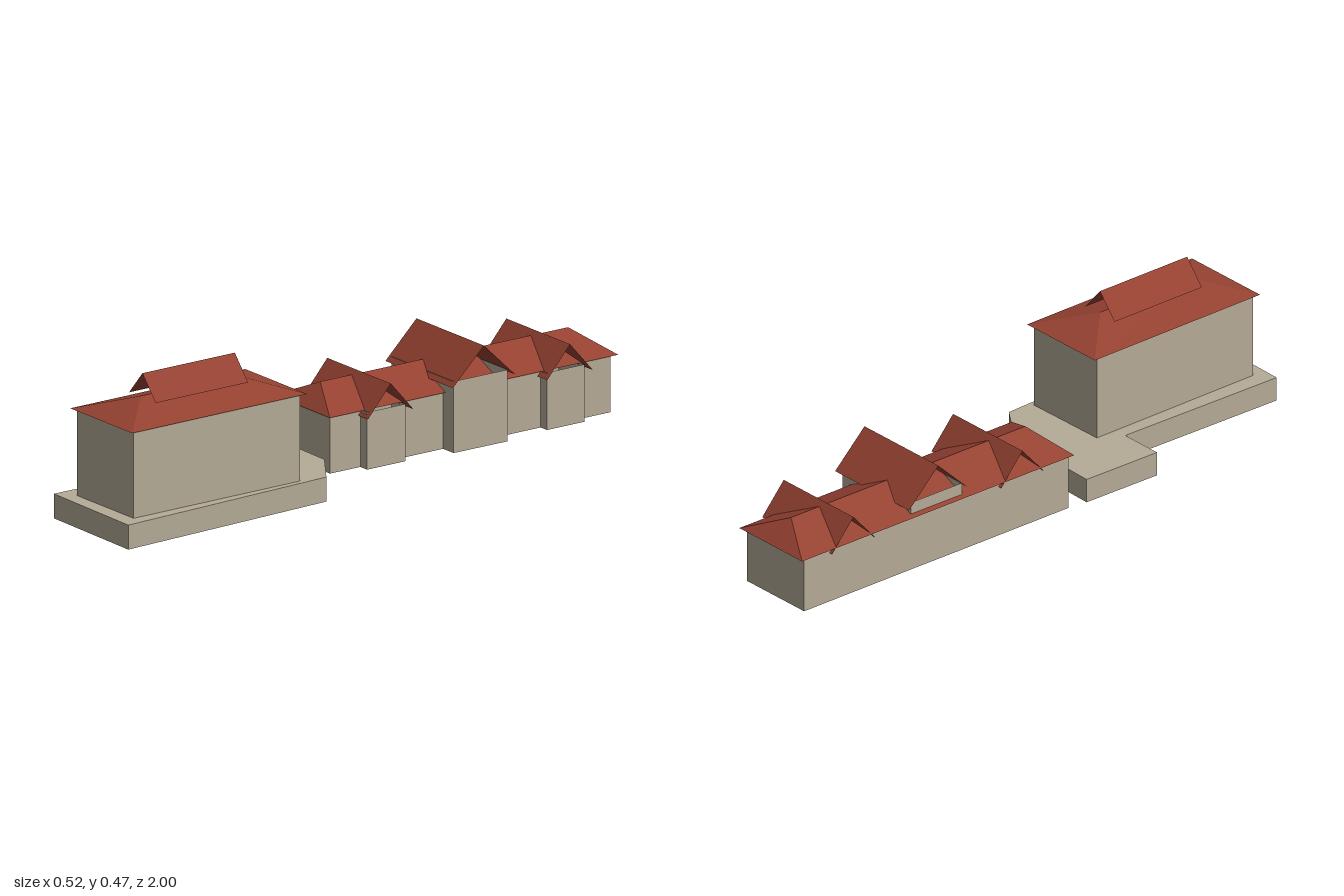
import * as THREE from 'three';

export function createModel() {
  const model = new THREE.Group();
  const wallMat = new THREE.MeshStandardMaterial({ color: 0xb5ab97, side: THREE.DoubleSide });
  wallMat.name = 'stone wall';
  const roofMat = new THREE.MeshStandardMaterial({ color: 0x964232, side: THREE.DoubleSide });
  roofMat.name = 'red roof';

  function add(name, geometry, material) {
    const mesh = new THREE.Mesh(geometry, material);
    mesh.name = name;
    model.add(mesh);
  }

  // Flat-shaded surface from polygons, each a fan of corner points
  function surface(polygons) {
    const pos = [];
    for (const p of polygons) {
      for (let i = 1; i < p.length - 1; i++) pos.push(...p[0], ...p[i], ...p[i + 1]);
    }
    const g = new THREE.BufferGeometry();
    g.setAttribute('position', new THREE.Float32BufferAttribute(pos, 3));
    g.computeVertexNormals();
    return g;
  }

  // Upright walls around an [x, z] outline, open above and below
  function walls(outline, y0, y1) {
    return surface(outline.map(([x, z], i) => {
      const [u, w] = outline[(i + 1) % outline.length];
      return [[x, y0, z], [u, y0, w], [u, y1, w], [x, y1, z]];
    }));
  }

  // Hipped roof: eaves corners frontLeft, backLeft, backRight, frontRight and two ridge ends
  function hipRoof(eaves, yEaves, yRidge, front, back) {
    const [a, b, c, d] = eaves.map(([x, z]) => [x, yEaves, z]);
    const f = [front[0], yRidge, front[1]];
    const r = [back[0], yRidge, back[1]];
    return surface([[a, b, r, f], [b, c, r], [c, d, f, r], [d, a, f]]);
  }

  // Two open slopes with the ridge along x
  function crossGable(x0, x1, z, half, yEaves, yRidge) {
    return surface([1, -1].map((s) => {
      const quad = [[x0, yEaves, z + s * half], [x1, yEaves, z + s * half], [x1, yRidge, z], [x0, yRidge, z]];
      return s > 0 ? quad : quad.reverse();
    }));
  }

  // Terrace: hollow underneath, with a flat top
  const terrace = [[0.262, 0.998], [0.23, 0.235], [0.085, 0.135], [-0.255, 0.125],
    [-0.259, 0.4], [-0.113, 0.4], [-0.123, 0.99]];
  add('terraceWalls', walls(terrace, 0, 0.077), wallMat);
  const top = new THREE.ShapeGeometry(new THREE.Shape(terrace.map(([x, z]) => new THREE.Vector2(x, -z))));
  top.rotateX(-Math.PI / 2).translate(0, 0.077, 0);
  add('terraceTop', top, wallMat);

  // Main house on the terrace
  add('houseWalls', walls([[0.217, 0.945], [0.215, 0.322], [-0.07, 0.325], [-0.066, 0.945]], 0.077, 0.352), wallMat);
  add('houseRoof', hipRoof([[0.23, 0.96], [0.227, 0.305], [-0.083, 0.305], [-0.081, 0.96]],
    0.35, 0.4, [0.073, 0.81], [0.071, 0.46]), roofMat);
  // Raised ridge cap with open ends
  add('houseRidgeCap', surface([
    [[0.139, 0.393, 0.805], [0.139, 0.393, 0.46], [0.073, 0.47, 0.46], [0.073, 0.47, 0.805]],
    [[0.073, 0.47, 0.805], [0.073, 0.47, 0.46], [0.006, 0.393, 0.46], [0.006, 0.393, 0.805]],
  ]), roofMat);

  // Long wing: two lower parts, each with a projecting bay, and a taller middle
  add('wingFrontWalls', walls([[0.012, 0.06], [0.013, -0.053], [0.047, -0.053], [0.047, -0.195], [0.015, -0.195],
    [0.015, -0.36], [-0.245, -0.36], [-0.247, 0.06]], 0, 0.18), wallMat);
  add('wingMiddleWalls', walls([[0.068, -0.36], [0.07, -0.56], [-0.243, -0.56], [-0.245, -0.36]], 0, 0.225), wallMat);
  add('wingBackWalls', walls([[0.017, -0.56], [0.018, -0.722], [0.05, -0.722], [0.05, -0.862], [0.019, -0.862],
    [0.02, -0.98], [-0.241, -0.98], [-0.243, -0.56]], 0, 0.18), wallMat);
  add('wingRoof', hipRoof([[0.025, 0.07], [0.033, -1.0], [-0.255, -1.0], [-0.262, 0.07]],
    0.18, 0.245, [-0.118, 0.0], [-0.111, -0.92]), roofMat);

  // Cross gables over the bays and the middle
  add('frontBayRoof', crossGable(-0.257, 0.062, -0.13, 0.085, 0.163, 0.26), roofMat);
  add('middleRoof', crossGable(-0.256, 0.083, -0.462, 0.116, 0.21, 0.322), roofMat);
  add('backBayRoof', crossGable(-0.253, 0.067, -0.795, 0.085, 0.163, 0.26), roofMat);

  return model;
}
